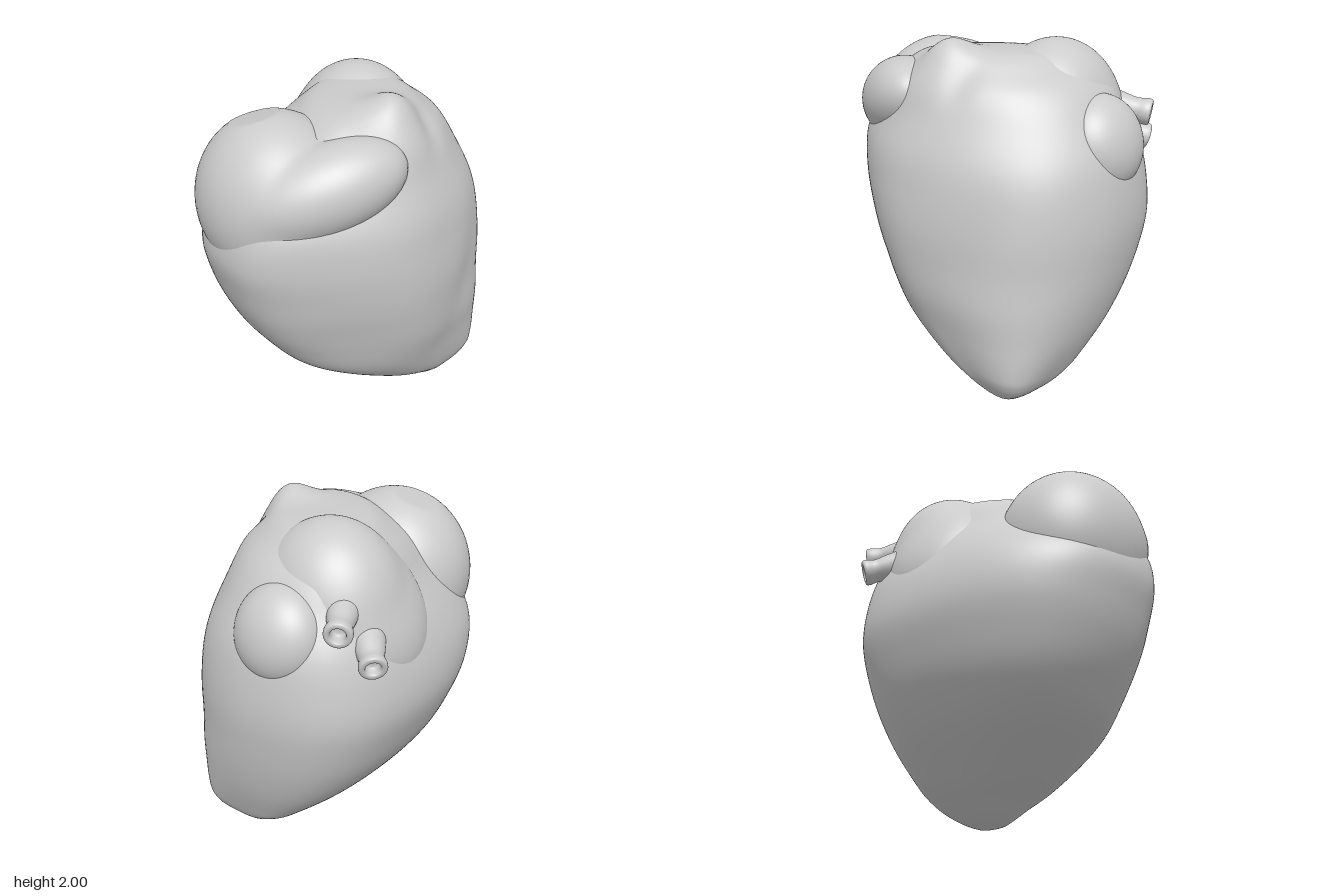
import * as THREE from 'three';
import { mergeVertices } from 'three/addons/utils/BufferGeometryUtils.js';

const material = new THREE.MeshStandardMaterial({ color: 0xcccccc });
const gauss = (d, s) => Math.exp(-(d * d) / (2 * s * s));
const vec = (x, y, z) => new THREE.Vector3(x, y, z);
const { smoothstep, clamp } = THREE.MathUtils;

// Sphere whose vertices are moved by a rule(point, u, v), then smoothed without a seam
function blob(name, rule, segments = 96) {
  let geo = new THREE.SphereGeometry(1, segments, segments);
  const pos = geo.attributes.position, uv = geo.attributes.uv;
  const p = vec(0, 0, 0);
  for (let i = 0; i < pos.count; i++) {
    p.fromBufferAttribute(pos, i);
    rule(p, uv.getX(i), uv.getY(i));
    pos.setXYZ(i, p.x, p.y, p.z);
  }
  geo.deleteAttribute('uv');
  geo.deleteAttribute('normal');
  geo = mergeVertices(geo, 1e-5);
  geo.computeVertexNormals();
  const mesh = new THREE.Mesh(geo, material);
  mesh.name = name;
  return mesh;
}

// Distance along a ray from inside an ellipsoid { c: centre, r: radii, q: rotation } to its surface
function exitDistance({ c, r, q }, origin, dir) {
  const inverse = q.clone().invert();
  const o = origin.clone().sub(c).applyQuaternion(inverse).divide(r);
  const d = dir.clone().applyQuaternion(inverse).divide(r);
  const a = d.dot(d), b = o.dot(d);
  return (-b + Math.sqrt(b * b - a * (o.dot(o) - 1))) / a;
}

// Smooth union of ellipsoids that all contain the origin
function fuse(p, origin, ellipsoids) {
  const dir = p.clone().normalize();
  const sum = ellipsoids.reduce((s, e) => s + Math.pow(exitDistance(e, origin, dir), 14), 0);
  p.copy(origin).addScaledVector(dir, Math.pow(sum, 1 / 14));
}

// Ventricle sections: y, x right, x left, z front, z back, skew of z along x
const rows = [
  [0, 0.43, 0.43, 0.33, 0.33, 0],
  [0.015, 0.31, 0.52, 0.42, 0.24, 0],
  [0.05, 0.22, 0.59, 0.46, 0.15, 0],
  [0.11, 0.1, 0.66, 0.51, 0.04, 0],
  [0.2, -0.12, 0.71, 0.55, -0.11, 0],
  [0.4, -0.48, 0.79, 0.61, -0.37, 0],
  [0.6, -0.66, 0.845, 0.67, -0.54, -0.01],
  [0.8, -0.78, 0.88, 0.7, -0.64, -0.03],
  [1.0, -0.855, 0.9, 0.715, -0.7, -0.04],
  [1.2, -0.9, 0.89, 0.705, -0.69, -0.05],
  [1.4, -0.86, 0.85, 0.675, -0.62, -0.08],
  [1.6, -0.72, 0.75, 0.6, -0.5, -0.12],
  [1.75, -0.58, 0.65, 0.54, -0.42, -0.2],
  [1.85, -0.42, 0.52, 0.46, -0.33, -0.3],
  [1.91, -0.3, 0.42, 0.38, -0.24, -0.36],
  [1.935, -0.14, 0.27, 0.28, -0.08, -0.36],
  [1.94, 0.06, 0.06, 0.12, 0.12, -0.36],
];

// Catmull-Rom blend between neighbouring sections
function section(v) {
  const n = rows.length - 1, f = v * n, i = Math.min(Math.floor(f), n - 1), t = f - i;
  const [a, b, c, d] = [-1, 0, 1, 2].map((k) => rows[clamp(i + k, 0, n)]);
  return b.map((_, k) => b[k] + 0.5 * t * (c[k] - a[k]
    + t * (2 * a[k] - 5 * b[k] + 4 * c[k] - d[k] + t * (3 * (b[k] - c[k]) + d[k] - a[k]))));
}

function ventricleRule(p, u, v) {
  const [y, x0, x1, zf, zb, skew] = section(v);
  const c = -Math.cos(u * Math.PI * 2), s = Math.sin(u * Math.PI * 2);
  const dx = c * (x1 - x0) / 2;
  p.set((x0 + x1) / 2 + dx, y, (zf + zb) / 2 + s * (zf - zb) / 2 + skew * dx);
  // corners: flatter at the front right, fuller at the other three
  const corner = 4 * c * c * s * s * Math.min(1, (x1 - x0) / 0.8);
  if (c * s < 0) {
    const shift = 0.045 * corner * (s > 0 ? smoothstep(y, 0.2, 0.8) : 1);
    p.x += shift;
    p.z -= shift;
  } else {
    const fullness = s > 0 ? 0.02 + 0.04 * gauss(y - 0.25, 0.25) : -0.03 * smoothstep(y, 0.2, 0.6);
    const push = corner * fullness * (1 - smoothstep(y, 1.2, 1.6));
    p.x += push;
    p.z += push;
  }
  const front = Math.max(0, s);
  // soft slanting groove down the front
  p.z -= 0.02 * front * gauss(y - 0.95, 0.3) * gauss(p.x - 0.45 - 0.3 * (y - 1), 0.12);
  // hollow beside the outflow trunk
  p.z -= 0.03 * front * gauss(p.x - 0.19, 0.06) * gauss(y - 1.8, 0.08);
  // outflow trunk rising at the top
  p.y += 0.075 * gauss(p.x, 0.1) * gauss(p.z - 0.35, 0.11) * smoothstep(y, 1.6, 1.9);
}

// Hollow vein stub with a rounded rim, pointing from one point to another
function vein(from, to) {
  const a = vec(...from), b = vec(...to);
  const L = a.distanceTo(b);
  const profile = [[0.1, -0.06], [0.08, 0.25 * L], [0.068, 0.6 * L], [0.076, 0.86 * L], [0.073, L],
    [0.055, 1.03 * L], [0.042, 0.98 * L], [0.035, 0.75 * L], [0, 0.7 * L]];
  const pts = new THREE.SplineCurve(profile.map((q) => new THREE.Vector2(...q))).getPoints(40);
  pts.forEach((q) => { q.x = Math.max(0, q.x); });
  const mesh = new THREE.Mesh(new THREE.LatheGeometry(pts, 32), material);
  mesh.position.copy(a);
  mesh.quaternion.setFromUnitVectors(vec(0, 1, 0), b.sub(a).normalize());
  mesh.name = 'pulmonaryVein';
  return mesh;
}

export function createModel() {
  const heart = new THREE.Group();
  heart.name = 'heart';
  heart.add(blob('ventricles', ventricleRule, 128));
  const straight = new THREE.Quaternion();

  // right atrium with its auricle wrapping to the front, cut flat where the upper vein would join
  const along = vec(0.8, 0.3, 0.5).normalize();
  const out = vec(0, 0, 0).crossVectors(along, vec(0, 1, 0)).normalize();
  const up = vec(0, 0, 0).crossVectors(out, along);
  const wrap = new THREE.Quaternion().setFromRotationMatrix(new THREE.Matrix4().makeBasis(along, up, out));
  const chamber = { c: vec(-0.48, 1.44, -0.06), r: vec(0.43, 0.49, 0.47), q: straight };
  const auricle = { c: vec(-0.45, 1.6, 0.31), r: vec(0.44, 0.245, 0.24), q: wrap };
  const n = vec(-0.1, 1, -0.3).normalize();
  heart.add(blob('rightAtrium', (p) => {
    fuse(p, vec(-0.52, 1.56, 0.16), [chamber, auricle]);
    p.addScaledVector(n, -0.9 * Math.max(0, p.clone().sub(chamber.c).dot(n) - 0.462));
  }));

  // left atrium: a dome on top and a slab leaning down the back
  const lean = new THREE.Quaternion().setFromEuler(new THREE.Euler(0.53, 0, -0.2));
  const dome = { c: vec(0.31, 1.53, -0.18), r: vec(0.37, 0.455, 0.41), q: straight };
  const slab = { c: vec(0.24, 1.5, -0.38), r: vec(0.37, 0.43, 0.23), q: lean };
  heart.add(blob('leftAtrium', (p) => fuse(p, vec(0.28, 1.5, -0.33), [dome, slab])));

  // left auricle on the side
  const leftAuricle = blob('leftAuricle', (p) => p.multiply(vec(0.195, 0.27, 0.26)), 64);
  leftAuricle.position.set(0.7, 1.46, -0.135);
  leftAuricle.rotation.z = 0.3;
  heart.add(leftAuricle);

  // veins leaving the left atrium
  heart.add(vein([0.54, 1.6, -0.43], [0.72, 1.565, -0.535]));
  heart.add(vein([0.49, 1.43, -0.56], [0.61, 1.38, -0.675]));
  return heart;
}
